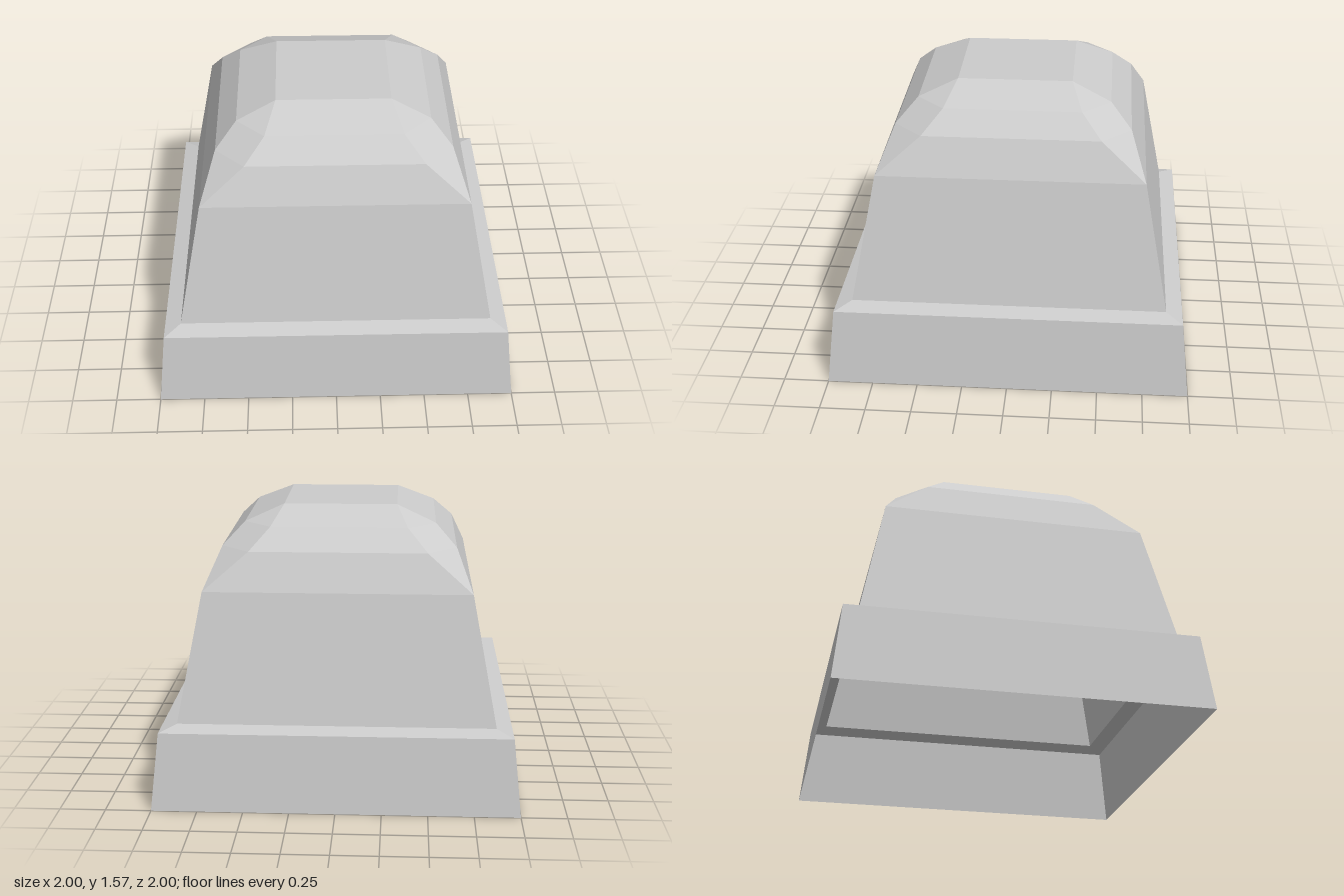
import * as THREE from 'three';

// Eight-point ring: sides at distance a, side half-length b (a === b is a plain square)
function ring([a, b, y]) {
  return [[-b, a], [b, a], [a, b], [a, -b], [b, -a], [-b, -a], [-a, -b], [-a, b]]
    .map(([x, z]) => new THREE.Vector3(x, y, z));
}

// Faceted open shell through a stack of rings, bottom to top
function shell(name, sections, material) {
  const rings = sections.map(ring);
  const points = [];
  const addTriangle = (p, q, r) => {
    if (new THREE.Triangle(p, q, r).getArea() > 1e-6) points.push(p, q, r);
  };
  for (let k = 0; k < rings.length - 1; k++) {
    const low = rings[k], high = rings[k + 1];
    for (let i = 0; i < 8; i++) {
      const j = (i + 1) % 8;
      addTriangle(low[i], low[j], high[j]);
      addTriangle(low[i], high[j], high[i]);
    }
  }
  const geometry = new THREE.BufferGeometry().setFromPoints(points);
  geometry.computeVertexNormals();
  const mesh = new THREE.Mesh(geometry, material);
  mesh.name = name;
  return mesh;
}

export function createModel() {
  const material = new THREE.MeshStandardMaterial({
    color: 0xcccccc, flatShading: true, side: THREE.DoubleSide,
  });
  const group = new THREE.Group();
  group.name = 'hollowCap';

  // Sections are [side distance, side half-length, height]
  const base = [1, 1, 0];
  const rim = [0.955, 0.955, 0.43];
  const foot = [0.865, 0.865, 0.455];
  const shoulder = [0.73, 0.73, 1.16];

  group.add(
    shell('skirt', [base, rim], material),
    shell('ledge', [rim, foot], material),
    shell('walls', [foot, shoulder], material),
    // Bevelled crown closing to a flat square top
    shell('crown', [
      shoulder,
      [0.645, 0.485, 1.365],
      [0.53, 0.375, 1.48],
      [0.315, 0.315, 1.57],
      [0, 0, 1.57],
    ], material),
  );
  return group;
}
